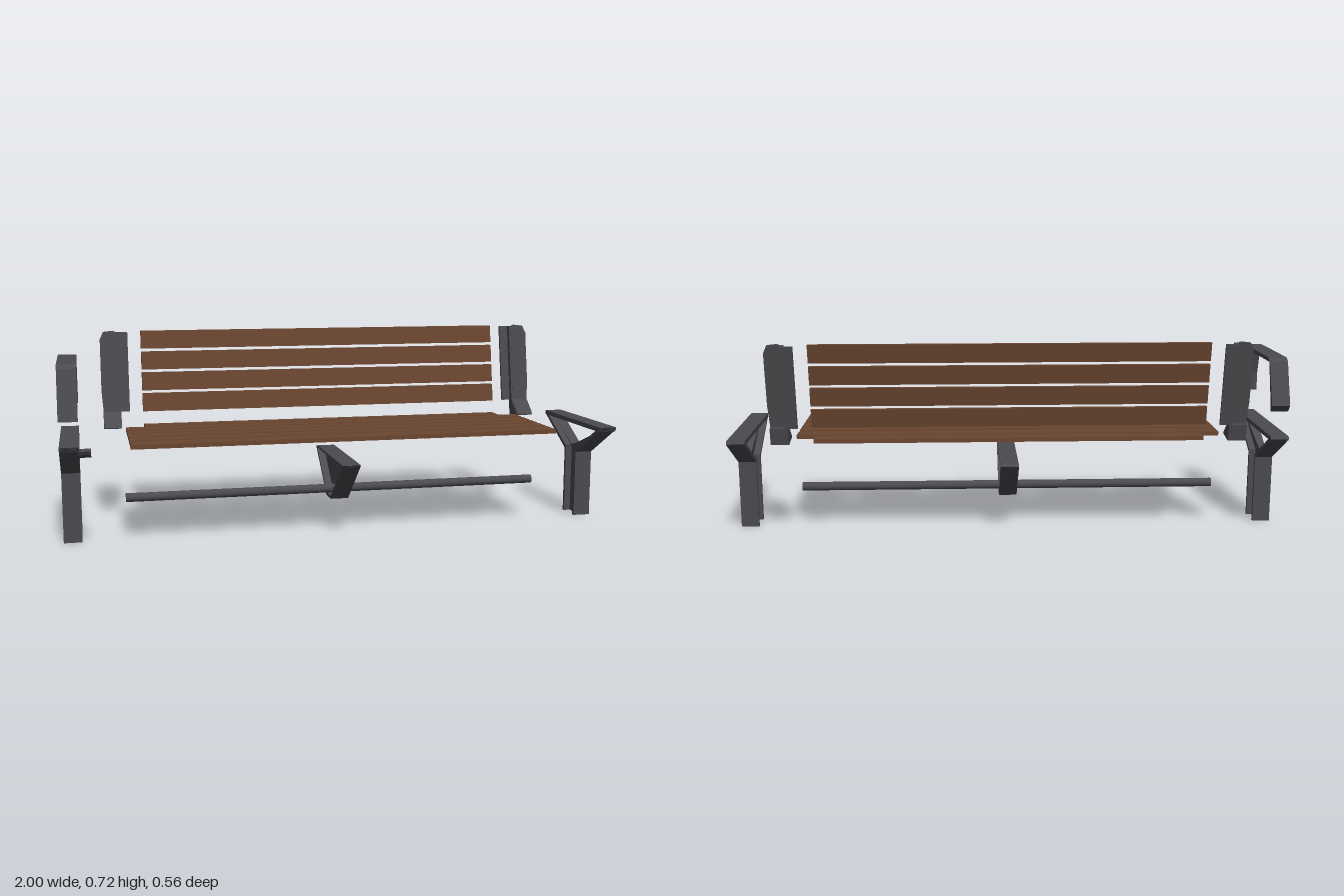
import * as THREE from 'three';

const metal = new THREE.MeshStandardMaterial({ color: 0x4a4a4f });
metal.name = 'dark grey metal';
const wood = new THREE.MeshStandardMaterial({ color: 0x6a4630 });
wood.name = 'brown wood';

const LEAN = 0.168; // backward lean of the backrest

function add(parent, name, geometry, material) {
  const mesh = new THREE.Mesh(geometry, material);
  mesh.name = name;
  parent.add(mesh);
  return mesh;
}

function box(x0, x1, y0, y1, z0, z1) {
  return new THREE.BoxGeometry(x1 - x0, y1 - y0, z1 - z0)
    .translate((x0 + x1) / 2, (y0 + y1) / 2, (z0 + z1) / 2);
}

const shapeOf = (pts) => new THREE.Shape(pts.map(([a, b]) => new THREE.Vector2(a, b)));

// Side profile given as [z, y] points, extruded along x about the centre cx
function profile(pts, cx, width, hole) {
  const shape = shapeOf(pts);
  if (hole) shape.holes.push(shapeOf(hole));
  return new THREE.ExtrudeGeometry(shape, { depth: width, bevelEnabled: false })
    .translate(0, 0, -width / 2).rotateY(-Math.PI / 2).translate(cx, 0, 0);
}

// Shears an upright geometry so that it leans back
function lean(geometry) {
  const p = geometry.attributes.position;
  for (let i = 0; i < p.count; i++) p.setZ(i, p.getZ(i) - (p.getY(i) - 0.42) * LEAN);
  geometry.computeVertexNormals();
  return geometry;
}

// H-section post carrying a triangular seat frame
function makeLeg(side) {
  const leg = new THREE.Group();
  leg.name = side > 0 ? 'leftLeg' : 'rightLeg';
  const cx = side * 0.967, w = 0.065;
  add(leg, 'postFrontFlange', box(cx - w / 2, cx + w / 2, 0, 0.258, 0.068, 0.08), metal);
  add(leg, 'postBackFlange', box(cx - w / 2, cx + w / 2, 0, 0.258, -0.02, -0.008), metal);
  add(leg, 'postWeb', box(cx - 0.008, cx + 0.008, 0, 0.265, -0.01, 0.07), metal);
  add(leg, 'topBar', profile([[0.28, 0.375], [0.27, 0.358], [-0.21, 0.357], [-0.217, 0.362], [-0.213, 0.373]], cx, w), metal);
  add(leg, 'frontArm', profile([[0.28, 0.368], [0.08, 0.25], [0.07, 0.258], [0.26, 0.368]], cx, w), metal);
  add(leg, 'backArm', profile([[-0.217, 0.362], [-0.02, 0.25], [-0.012, 0.262], [-0.2, 0.366]], cx, w), metal);
  add(leg, 'frameWeb', profile(
    [[0.27, 0.366], [0.075, 0.254], [-0.015, 0.254], [-0.21, 0.364]], cx, 0.016,
    [[0.235, 0.356], [0.01, 0.27], [-0.015, 0.268], [-0.185, 0.356]]), metal);
  return leg;
}

// Z-section upright with a foot that sits on the seat frame
function makeBackPost(side) {
  const post = new THREE.Group();
  post.name = side > 0 ? 'leftBackPost' : 'rightBackPost';
  const face = [[0.785, 0.415], [0.842, 0.415], [0.848, 0.5], [0.848, 0.69], [0.835, 0.718], [0.8, 0.722], [0.785, 0.715]];
  add(post, 'frontPlate', lean(new THREE.ExtrudeGeometry(
    shapeOf(face.map(([x, y]) => [side * x, y])), { depth: 0.012, bevelEnabled: false })
    .translate(0, 0, -0.211)), metal);
  add(post, 'web', profile(
    [[-0.217, 0.36], [-0.145, 0.373], [-0.2, 0.42], [-0.25, 0.718], [-0.279, 0.714], [-0.23, 0.42]],
    side * 0.784, 0.012), metal);
  add(post, 'foot', profile(
    [[-0.138, 0.37], [-0.15, 0.385], [-0.2, 0.424], [-0.213, 0.42], [-0.205, 0.405], [-0.15, 0.366]],
    side * 0.812, 0.062), metal);
  add(post, 'footBase', profile(
    [[-0.138, 0.37], [-0.2, 0.371], [-0.213, 0.42], [-0.228, 0.42], [-0.217, 0.36], [-0.205, 0.358]],
    side * 0.812, 0.062), metal);
  const xs = [side * 0.745, side * 0.788].sort((a, b) => a - b);
  add(post, 'slatPlate', lean(box(xs[0], xs[1], 0.42, 0.715, -0.23, -0.22)), metal);
  return post;
}

export function createModel() {
  const bench = new THREE.Group();
  bench.name = 'bench';

  for (const side of [-1, 1]) bench.add(makeLeg(side), makeBackPost(side));

  // Small mounting lug on the inner front of one leg
  add(bench, 'mountingLug', profile(
    [[0.268, 0.358], [0.26, 0.345], [0.215, 0.328], [0.21, 0.358]], -0.917, 0.044), metal);

  // Single armrest: a bent flat band
  add(bench, 'armrest', profile([
    [0.278, 0.46], [0.237, 0.632], [0.216, 0.647], [-0.136, 0.647], [-0.155, 0.635],
    [-0.211, 0.484], [-0.19, 0.46], [-0.189, 0.49], [-0.146, 0.633], [0.22, 0.633],
    [0.248, 0.528], [0.248, 0.46]], -0.967, 0.065), metal);

  // Seat boards: [back z, front z, half length]
  const seat = new THREE.Group();
  seat.name = 'seat';
  bench.add(seat);
  for (const [z0, z1, half] of [
    [-0.2, -0.14, 0.695], [-0.126, -0.062, 0.765], [-0.046, 0.019, 0.765],
    [0.03, 0.096, 0.765], [0.112, 0.177, 0.765], [0.192, 0.27, 0.765]]) {
    add(seat, 'seatSlat', box(-half, half, 0.359, 0.374, z0, z1), wood);
  }

  // Leaning backrest boards
  const backrest = new THREE.Group();
  backrest.name = 'backrest';
  bench.add(backrest);
  for (let i = 0; i < 4; i++) {
    const y = 0.421 + i * 0.0777;
    add(backrest, 'backSlat', lean(box(-0.697, 0.697, y, y + 0.066, -0.219, -0.2)), wood);
  }

  // Long tube under the seat
  add(bench, 'crossTube', new THREE.CylinderGeometry(0.016, 0.016, 1.55, 20)
    .rotateZ(Math.PI / 2).translate(-0.003, 0.142, 0.026), metal);

  // Central support: V-shaped flanges, web and slotted top plate
  const support = new THREE.Group();
  support.name = 'centreSupport';
  bench.add(support);
  const sw = 0.066;
  add(support, 'topPlate', profile(
    [[0.262, 0.27], [0.25, 0.263], [-0.18, 0.263], [-0.195, 0.265], [-0.17, 0.271], [0.235, 0.271]], 0, sw), metal);
  add(support, 'vFlange', profile([
    [0.262, 0.268], [0.068, 0.11], [-0.01, 0.11], [-0.195, 0.266], [-0.178, 0.266],
    [-0.006, 0.12], [0.064, 0.12], [0.243, 0.268]], 0, sw), metal);
  add(support, 'web', profile([[0.222, 0.245], [0.064, 0.115], [-0.006, 0.115], [-0.16, 0.245]], 0, 0.012), metal);

  return bench;
}
